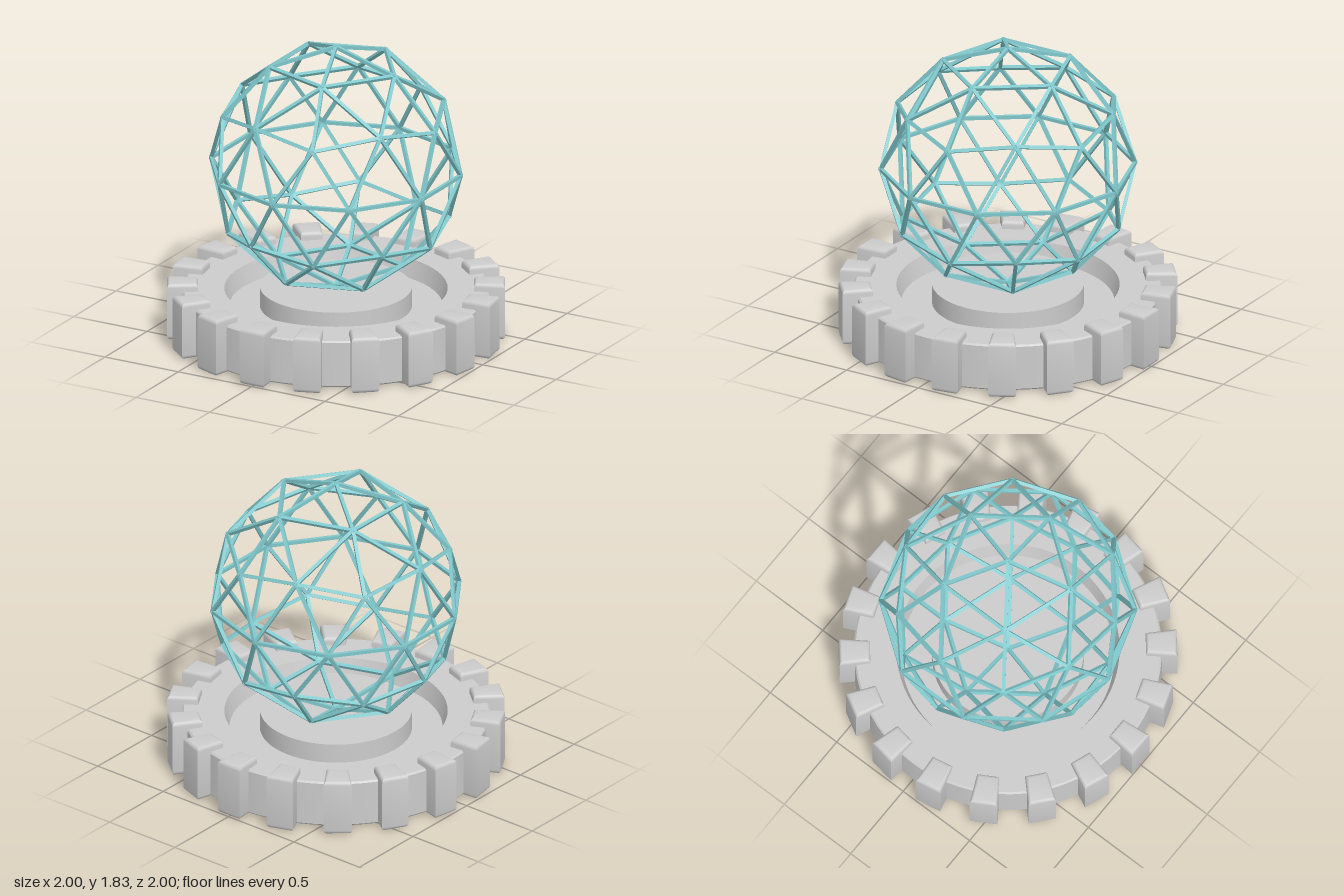
import * as THREE from 'three';
import { toCreasedNormals } from 'three/addons/utils/BufferGeometryUtils.js';

const grey = new THREE.MeshStandardMaterial({ color: 0xcccccc });
const teal = new THREE.MeshStandardMaterial({ color: 0x80c8cc });

function mesh(name, geometry, material) {
  const m = new THREE.Mesh(geometry, material);
  m.name = name;
  return m;
}

// Wheel body: rim, recessed web on both sides and a raised hub, as one turned profile
function wheelBody() {
  const profile = [
    [0, 0.11], [0.66, 0.11], [0.66, 0.01], [0.9, 0.01], [0.91, 0.02],
    [0.91, 0.29], [0.9, 0.3], [0.66, 0.3], [0.63, 0.19],
    [0.45, 0.19], [0.45, 0.31], [0, 0.31],
  ].map(([r, y]) => new THREE.Vector2(r, y));
  return mesh('wheelBody', toCreasedNormals(new THREE.LatheGeometry(profile, 72), 0.5), grey);
}

// One tread block: a slightly tapered, rounded block reaching out along +z
function treadGeometry() {
  const b = 0.025;
  const outer = 0.082 - b, inner = 0.068 - b, near = 0.815 + b, far = 1 - b;
  const shape = new THREE.Shape([
    new THREE.Vector2(-inner, -near), new THREE.Vector2(-outer, -far),
    new THREE.Vector2(outer, -far), new THREE.Vector2(inner, -near),
  ]);
  const geometry = new THREE.ExtrudeGeometry(shape, {
    depth: 0.35 - 2 * b, bevelEnabled: true, bevelSize: b, bevelThickness: b, bevelSegments: 4,
  });
  geometry.rotateX(-Math.PI / 2).translate(0, b, 0);
  return toCreasedNormals(geometry, 0.7);
}

// Unit icosahedron standing on a corner, each triangle split in four
function geodesicEdges() {
  const ring = (y, turn) => Array.from({ length: 5 }, (_, i) => {
    const a = turn + i * Math.PI * 0.4, r = Math.sqrt(1 - y * y);
    return new THREE.Vector3(r * Math.cos(a), y, r * Math.sin(a));
  });
  const h = 1 / Math.sqrt(5);
  const corners = [
    new THREE.Vector3(0, 1, 0), ...ring(h, 0), ...ring(-h, Math.PI), new THREE.Vector3(0, -1, 0),
  ];
  const points = [...corners];
  for (let i = 0; i < 12; i++) {
    for (let j = i + 1; j < 12; j++) {
      if (corners[i].distanceTo(corners[j]) < 1.1) {
        points.push(corners[i].clone().add(corners[j]).normalize());
      }
    }
  }
  const edges = [];
  points.forEach((a, i) => points.slice(i + 1).forEach((b) => {
    if (a.distanceTo(b) < 0.7) edges.push([a, b]);
  }));
  return edges;
}

// Open globe of square struts, each with one side facing outward
function globe() {
  const group = new THREE.Group();
  group.name = 'globe';
  const radius = 0.754, width = 0.021;
  for (const [a, b] of geodesicEdges()) {
    const along = b.clone().sub(a).normalize();
    const out = a.clone().add(b).normalize();
    const side = new THREE.Vector3().crossVectors(along, out);
    const strut = mesh('strut',
      new THREE.BoxGeometry(width, a.distanceTo(b) * radius + 0.01, width), teal);
    strut.quaternion.setFromRotationMatrix(new THREE.Matrix4().makeBasis(side, along, out.negate()));
    // keep the basis right-handed: side x along = -out... flipped where needed
    const basis = new THREE.Matrix4().makeBasis(side, along, new THREE.Vector3().crossVectors(side, along));
    strut.quaternion.setFromRotationMatrix(basis);
    strut.position.copy(a).add(b).multiplyScalar(radius / 2);
    group.add(strut);
  }
  group.position.y = 1.065;
  return group;
}

export function createModel() {
  const model = new THREE.Group();
  model.name = 'globeOnWheel';
  model.add(wheelBody(), globe());

  const tread = treadGeometry();
  const treads = new THREE.Group();
  treads.name = 'treadBlocks';
  for (let i = 0; i < 18; i++) {
    const block = mesh('treadBlock', tread, grey);
    block.rotation.y = (i * Math.PI) / 9;
    treads.add(block);
  }
  model.add(treads);
  return model;
}
